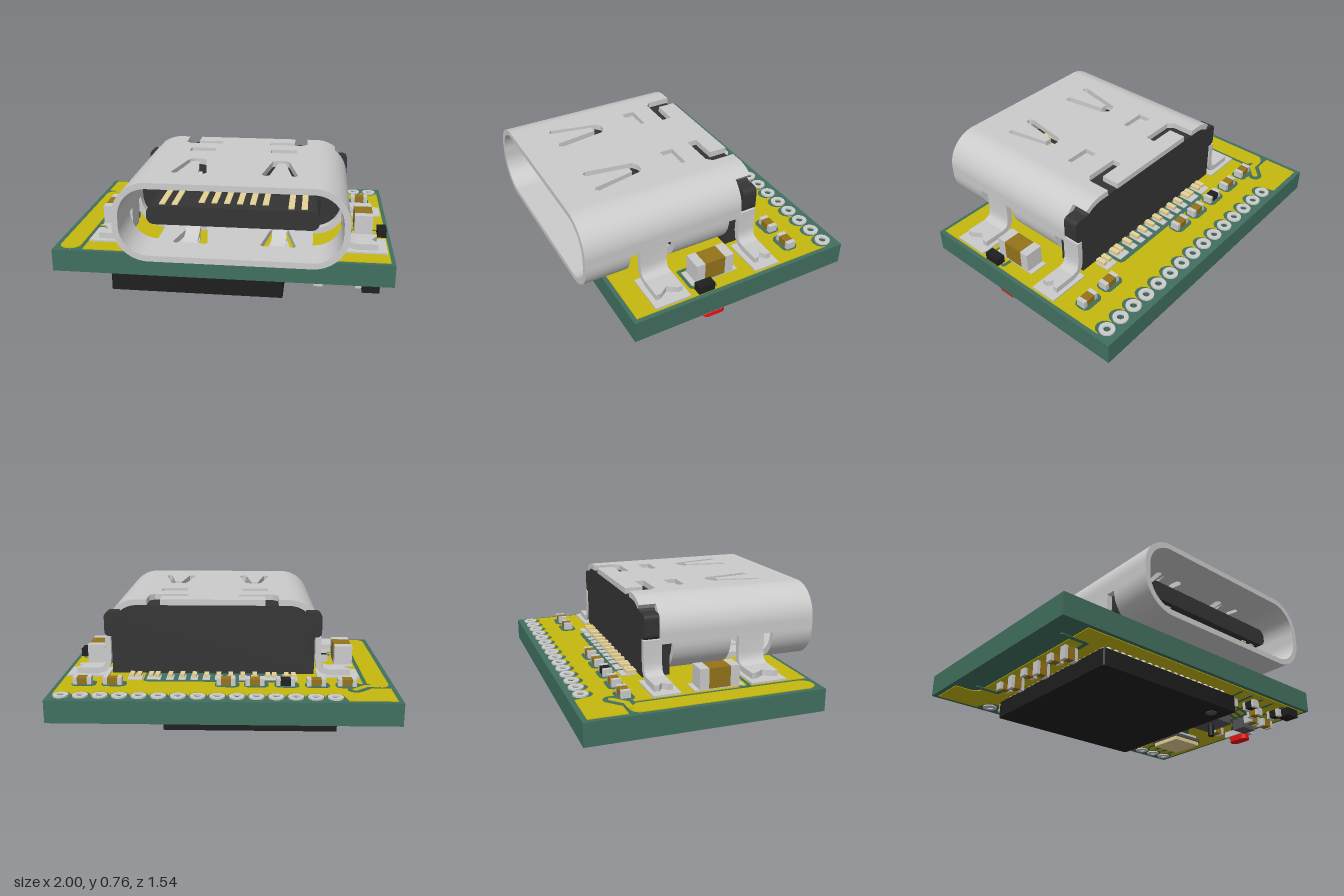
import * as THREE from 'three';
import { toCreasedNormals } from 'three/addons/utils/BufferGeometryUtils.js';

const mat = (color) => new THREE.MeshStandardMaterial({ color });
const M = {
  metal: mat(0xcccccc), pad: mat(0xbdbdbd), green: mat(0x41705f), copper: mat(0xc4b80e), dark: mat(0x343434),
  chip: mat(0x1f1f1f), gold: mat(0xe6d296), brown: mat(0x94731a), red: mat(0xee1111), slate: mat(0x55555a),
};
const CX = 0.075; // connector centre line
const TOP = 0.28, BOT = 0.145; // board faces

export function createModel() {
  const model = new THREE.Group();
  const group = (name) => {
    const g = new THREE.Group();
    g.name = name;
    model.add(g);
    return g;
  };
  const add = (parent, name, geo, m) => {
    const mesh = new THREE.Mesh(geo, m);
    mesh.name = name;
    parent.add(mesh);
    return mesh;
  };
  // box given by its limits
  const box = (p, name, m, x0, x1, y0, y1, z0, z1) =>
    add(p, name, new THREE.BoxGeometry(x1 - x0, y1 - y0, z1 - z0).translate((x0 + x1) / 2, (y0 + y1) / 2, (z0 + z1) / 2), m);
  const poly = (pts) => new THREE.Shape(pts.map((q) => new THREE.Vector2(q[0], q[1])));
  const rect = (x0, x1, z0, z1) => poly([[x0, z0], [x1, z0], [x1, z1], [x0, z1]]);
  const disc = (x, z, r) => new THREE.Shape().absarc(x, z, r, 0, Math.PI * 2, false);
  const rounded = (x0, x1, y0, y1, r) => {
    const s = new THREE.Shape();
    s.absarc(x1 - r, y1 - r, r, 0, Math.PI / 2);
    s.absarc(x0 + r, y1 - r, r, Math.PI / 2, Math.PI);
    s.absarc(x0 + r, y0 + r, r, Math.PI, Math.PI * 1.5);
    s.absarc(x1 - r, y0 + r, r, Math.PI * 1.5, Math.PI * 2);
    return s;
  };
  const extrude = (s, depth, curveSegments = 10) =>
    toCreasedNormals(new THREE.ExtrudeGeometry(s, { depth, bevelEnabled: false, curveSegments }), 0.6);
  // horizontal plate from a shape drawn in x and z
  const plate = (p, name, m, s, y0, y1) => add(p, name, extrude(s, y1 - y0).rotateX(Math.PI / 2).translate(0, y1, 0), m);
  // upright shape drawn in x and y, running along z
  const along = (p, name, m, s, z0, z1) => add(p, name, extrude(s, z1 - z0).translate(0, 0, z0), m);
  // strip of even thickness following a polyline
  const strip = (pts, t) => {
    const v = pts.map((q) => new THREE.Vector2(q[0], q[1]));
    const side = (k) => v.map((q, i) => {
      const d = v[Math.min(i + 1, v.length - 1)].clone().sub(v[Math.max(i - 1, 0)]).normalize();
      return new THREE.Vector2(q.x - d.y * k, q.y + d.x * k);
    });
    return new THREE.Shape([...side(t / 2), ...side(-t / 2).reverse()]);
  };
  const mx = (x) => 2 * CX - x;

  // Circuit board with a row of plated holes
  const board = group('circuitBoard');
  const holes = Array.from({ length: 15 }, (_, i) => -0.63 + i * 0.1107);
  const outline = rect(-1, 1, -0.77, 0.62);
  holes.forEach((x) => outline.holes.push(disc(x, -0.69, 0.02)));
  plate(board, 'boardCore', M.green, outline, BOT, TOP);
  for (const [y0, y1, name] of [[TOP, TOP + 0.01, 'topRing'], [BOT - 0.008, BOT, 'bottomRing']]) {
    for (const x of holes) {
      const ring = disc(x, -0.69, 0.045);
      ring.holes.push(disc(x, -0.69, 0.02));
      plate(board, name, M.pad, ring, y0, y1);
    }
  }

  // Copper areas, scalloped round the holes
  const scallops = [];
  for (const x of holes) {
    for (let k = 0; k <= 6; k++) {
      const a = Math.PI * (1 - k / 6);
      scallops.push([x + 0.054 * Math.cos(a), -0.675 + 0.054 * Math.sin(a)]);
    }
  }
  const main = [[-0.97, -0.74], [-0.7, -0.74], ...scallops, [0.975, -0.65], [0.975, 0.595], [-0.82, 0.595], [-0.82, -0.49], [-0.86, -0.52], [-0.97, -0.52]];
  plate(board, 'topCopper', M.copper, poly(main), TOP, TOP + 0.004);
  plate(board, 'topCopperStrip', M.copper, rounded(-0.97, -0.845, -0.5, 0.59, 0.06), TOP, TOP + 0.004);
  plate(board, 'bottomCopper', M.copper, poly(main), BOT - 0.004, BOT);

  // Routed channels drawn as flat rounded lines
  const trace = (pts, w, top, m = M.green, lift = 0.006) => {
    const [y0, y1] = top ? [TOP, TOP + lift] : [BOT - lift, BOT];
    pts.forEach((q, i) => {
      plate(board, 'traceJoint', m, disc(q[0], q[1], w / 2), y0, y1);
      if (i) plate(board, 'trace', m, strip([pts[i - 1], q], w), y0, y1);
    });
  };
  trace([[-0.83, -0.5], [-0.9, -0.5]], 0.025, true);
  trace([[-0.83, -0.49], [-0.76, -0.555]], 0.09, true);
  trace([[-0.9, -0.49], [-0.83, -0.49], [-0.76, -0.555]], 0.035, true, M.copper, 0.008);
  trace([[-0.8, 0.21], [-0.65, 0.21]], 0.075, true);
  trace([[-0.81, 0.205], [-0.7, 0.215], [-0.655, 0.21], [-0.64, 0.06]], 0.03, true, M.copper, 0.008);
  trace([[0.76, 0.08], [0.76, 0.22], [0.9, 0.22], [0.95, 0.17], [0.95, 0.09], [0.76, 0.08]], 0.018, true);
  plate(board, 'leadClearance', M.green, rounded(-0.35, 0.49, -0.425, -0.2, 0.03), TOP, TOP + 0.006);
  for (let i = 0; i < 5; i++) {
    const d = i * 0.07;
    trace([[0.9 - d, -0.6], [0.9 - d, -0.45 + d * 0.5], [0.6 - d * 0.6, -0.1 + d * 0.4], [0.45, 0.05 + d]], 0.022, false);
    trace([[0.2 - i * 0.17, -0.63], [0.25 - i * 0.17, -0.54], [0.2 - i * 0.17, -0.45]], 0.025, false);
    trace([[0.4 + i * 0.1, 0.56], [0.42 + i * 0.1, 0.4 - d], [0.92, 0.3 - d]], 0.02, false);
  }
  trace([[-0.86, -0.45], [-0.72, -0.45], [-0.72, 0.45], [-0.88, 0.45]], 0.025, false);
  plate(board, 'bottomClearance', M.green, rounded(0.4, 0.97, -0.1, 0.58, 0.05), BOT - 0.003, BOT);

  // Connector shell: flat panels and rounded corners
  const shell = group('connectorShell');
  const R = 0.2, T = 0.035, XL = -0.58, YB = 0.3, YT = 0.76;
  const both = (pts) => [pts, pts.map((q) => [mx(q[0]), q[1]])];
  const panelHoles = [
    ...both([[-0.225, 0.26], [-0.2, 0.24], [-0.16, 0.24], [-0.125, 0.26], [-0.08, 0.54], [-0.1, 0.56], [-0.125, 0.55], [-0.16, 0.3],
      [-0.205, 0.3], [-0.25, 0.55], [-0.27, 0.56], [-0.285, 0.54]]),
    ...both([[-0.26, -0.02], [-0.1, -0.02], [-0.1, 0.06], [-0.26, 0.06]]),
  ];
  const notch = [[-0.32, -0.31], [-0.32, -0.17], [-0.29, -0.14], [-0.08, -0.14], [-0.08, -0.2], [-0.24, -0.2], [-0.24, -0.31]];
  const topPanel = poly([[XL + R, 0.77], [XL + R, -0.31], ...notch, ...notch.map((q) => [mx(q[0]), q[1]]).reverse(), [mx(XL + R), -0.31], [mx(XL + R), 0.77]]);
  const bottomPanel = rect(XL + R, mx(XL + R), -0.13, 0.77);
  panelHoles.forEach((h, i) => {
    topPanel.holes.push(poly(h));
    if (i < 2) bottomPanel.holes.push(poly(h));
  });
  plate(shell, 'topPanel', M.metal, topPanel, YT - T, YT);
  plate(shell, 'bottomPanel', M.metal, bottomPanel, YB, YB + T);
  const deg = Math.PI / 180;
  const corner = (s, cy, a0, a1, z0, z1) => {
    const c = s < 0 ? XL + R : mx(XL + R);
    const [b0, b1] = s < 0 ? [180 - a1, 180 - a0] : [a0, a1];
    const ring = new THREE.Shape();
    ring.absarc(c, cy, R, b0 * deg, b1 * deg, false);
    ring.absarc(c, cy, R - T, b1 * deg, b0 * deg, true);
    along(shell, 'shellCorner', M.metal, ring, z0, z1);
  };
  const legPath = [[-0.563, 0.53], [-0.563, 0.4], [-0.57, 0.35], [-0.59, 0.325], [-0.63, 0.313], [-0.76, 0.313]];
  for (const s of [-1, 1]) {
    const fx = (x) => (s < 0 ? x : mx(x));
    const span = (a, b) => [Math.min(fx(a), fx(b)), Math.max(fx(a), fx(b))];
    corner(s, YT - R, 0, 53, -0.21, 0.77);
    corner(s, YT - R, 53, 90, -0.31, 0.77);
    corner(s, YB + R, -90, 0, -0.13, 0.23);
    corner(s, YB + R, -90, 0, 0.505, 0.77);
    box(shell, 'shellSide', M.metal, ...span(XL, XL + T), YB + R, YT - R, -0.21, 0.77);
    // Mounting legs, their forked feet and solder pads
    for (const [z0, z1] of [[-0.31, -0.2], [0.28, 0.445]]) {
      along(shell, 'mountingLeg', M.metal, strip(legPath.slice(0, 5).map((q) => [fx(q[0]), q[1]]), T), z0, z1);
      const zm = (z0 + z1) / 2;
      const foot = poly([[-0.62, z0], [-0.76, z0], [-0.76, z0 + 0.03], [-0.725, zm], [-0.76, z1 - 0.03], [-0.76, z1], [-0.62, z1]].map((q) => [fx(q[0]), q[1]]));
      plate(shell, 'foot', M.metal, foot, 0.295, 0.331);
      box(board, 'solderPad', M.pad, ...span(-0.815, -0.56), TOP, 0.294, z0 - 0.025, z1 + 0.03);
    }
    // Inward springs and stamped recesses
    const path = [[0.56, 0.742], [0.45, 0.71], [0.38, 0.668], [0.345, 0.662], [0.31, 0.69]];
    for (const up of [false, true]) {
      const prof = strip(path.map((q) => [-q[0], up ? YB + YT - q[1] : q[1]]), 0.026);
      add(shell, 'spring', extrude(prof, 0.085).rotateY(Math.PI / 2).translate(fx(-0.183) - 0.0425, 0, 0), M.metal);
    }
    box(shell, 'stampedRecess', M.metal, ...span(-0.255, -0.105), 0.69, 0.735, -0.015, 0.055);
  }

  // Connector insulator and tongue
  const core = group('connectorCore');
  along(core, 'insulator', M.dark, rounded(-0.543, 0.693, 0.337, 0.723, 0.16), -0.2, 0.18);
  along(core, 'rearBlock', M.dark, poly([[-0.54, 0.3], [0.69, 0.3], [0.69, 0.64], [0.6, 0.722], [-0.45, 0.722], [-0.54, 0.64]]), -0.305, -0.14);
  along(core, 'rearWings', M.dark, rounded(-0.583, 0.733, 0.53, 0.68, 0.03), -0.305, -0.215);
  along(core, 'tongueRoot', M.dark, rounded(-0.44, 0.59, 0.45, 0.61, 0.05), 0.1, 0.36);
  along(core, 'tongue', M.dark, rounded(-0.415, 0.565, 0.475, 0.585, 0.045), 0.1, 0.64);
  const offsets = [0.403, 0.33, 0.183, 0.11, 0.037];
  for (const s of [-1, 1]) {
    for (const o of offsets) {
      const x = CX + s * o, z1 = o > 0.3 ? 0.61 : 0.56;
      box(core, 'upperContact', M.gold, x - 0.017, x + 0.017, 0.58, 0.592, 0.36, z1);
      box(core, 'lowerContact', M.gold, x - 0.017, x + 0.017, 0.468, 0.48, 0.36, z1);
    }
    for (const o of [0.49, 0.447, 0.374, 0.335, 0.256, 0.183, 0.11, 0.037]) {
      const x = CX + s * o;
      box(board, 'leadPad', M.pad, x - 0.022, x + 0.022, TOP, 0.291, -0.4, -0.31);
      box(core, 'lead', M.gold, x - 0.014, x + 0.014, 0.29, 0.312, -0.365, -0.29);
    }
  }

  // Small two-ended parts; negative height hangs below the board
  const parts = group('smallParts');
  const part = (x, z, lx, lz, h, body = M.brown) => {
    const alongX = lx > lz, base = h > 0 ? TOP + 0.005 : BOT - 0.005;
    const [y0, y1] = h > 0 ? [base, base + h] : [base + h, base];
    const e = Math.max(lx, lz) * 0.23, ex = alongX ? lx / 2 - e : lx / 2, ez = alongX ? lz / 2 : lz / 2 - e;
    box(parts, 'partBody', body, x - ex, x + ex, y0 + 0.003, y1 - 0.003, z - ez, z + ez);
    for (const s of [-1, 1]) {
      const [px, pz] = alongX ? [x + s * (lx - e) / 2, z] : [x, z + s * (lz - e) / 2];
      const [w, d] = alongX ? [e, lz] : [lx, e];
      box(parts, 'partEnd', M.metal, px - w / 2, px + w / 2, y0, y1, pz - d / 2, pz + d / 2);
    }
  };
  for (const x of [-0.72, -0.54, -0.36, -0.18, -0.01, 0.66, 0.84]) {
    plate(board, 'partClearance', M.green, rounded(x - 0.08, x + 0.065, -0.525, -0.425, 0.035), TOP, TOP + 0.006);
    part(x, -0.475, 0.11, 0.055, 0.045, x === -0.36 ? M.chip : M.brown);
  }
  for (const x of [-0.75, 0.838]) {
    part(x, 0.06, 0.112, 0.24, 0.125);
    box(parts, 'capacitorMiddle', M.brown, x - 0.054, x + 0.054, 0.29, 0.409, -0.035, 0.162);
    box(board, 'capacitorPad', M.pad, x - 0.058, x + 0.058, TOP, 0.29, -0.09, 0.21);
  }
  part(-0.633, 0.055, 0.05, 0.085, 0.045, M.chip);
  box(parts, 'topDiode', M.chip, 0.922, 0.976, 0.285, 0.335, 0.11, 0.21);

  // Underside: main package on solder balls
  const under = group('underside');
  plate(under, 'mainPackage', M.chip, rounded(-0.67, 0.365, -0.498, 0.537, 0.012), 0.003, 0.105);
  add(under, 'pinOneMark', new THREE.CylinderGeometry(0.035, 0.035, 0.003, 20).translate(0.26, 0.0015, 0.43), M.slate);
  const ball = new THREE.SphereGeometry(0.021, 10, 8);
  for (let i = 0; i < 19; i++) {
    const t = -0.45 + i * 0.05;
    for (const s of [-1, 1]) {
      add(under, 'solderBall', ball, M.pad).position.set(-0.152 + t, 0.121, 0.02 + s * 0.47);
      add(under, 'solderBall', ball, M.pad).position.set(-0.152 + s * 0.47, 0.121, 0.02 + t);
    }
  }
  // Push switch, sensor and indicator lamp
  plate(under, 'switchBody', M.slate, rounded(0.45, 0.66, 0.03, 0.25, 0.02), 0.08, BOT);
  add(under, 'switchButton', new THREE.CylinderGeometry(0.02, 0.02, 0.08, 16).translate(0.57, 0.042, 0.14), M.chip);
  box(under, 'sensorBase', M.gold, 0.57, 0.79, 0.07, 0.095, -0.41, -0.19);
  box(under, 'sensorBody', M.slate, 0.56, 0.8, 0.095, 0.115, -0.42, -0.18);
  box(under, 'sensorPads', M.pad, 0.58, 0.78, 0.115, BOT, -0.4, -0.2);
  plate(under, 'lampLens', M.red, rounded(0.89, 0.96, 0.01, 0.155, 0.033), 0.063, 0.1);
  box(under, 'lampBase', M.pad, 0.88, 0.965, 0.1, BOT, -0.01, 0.175);

  // Scattered underside parts
  for (let i = 0; i < 7; i++) part(0.28 - i * 0.145, -0.555, 0.045, 0.085, -0.045, i % 3 === 1 ? M.slate : M.brown);
  for (let i = 0; i < 6; i++) part(-0.76, -0.3 + i * 0.13, 0.085, 0.045, i % 2 ? -0.08 : -0.045);
  for (let i = 0; i < 4; i++) part(0.45 + i * 0.12, 0.42 + (i % 2) * 0.07, 0.05, 0.09, -0.05, i % 2 ? M.chip : M.brown);
  for (const [x, z] of [[0.9, 0.33], [0.78, 0.32], [0.75, 0.02], [0.45, -0.12], [0.44, -0.35]]) part(x, z, 0.1, 0.055, -0.05);
  box(under, 'cornerPart', M.chip, 0.82, 0.92, 0.09, BOT, 0.5, 0.59);
  box(under, 'sidePart', M.slate, 0.74, 0.85, 0.07, BOT, 0.19, 0.28);

  return model;
}
